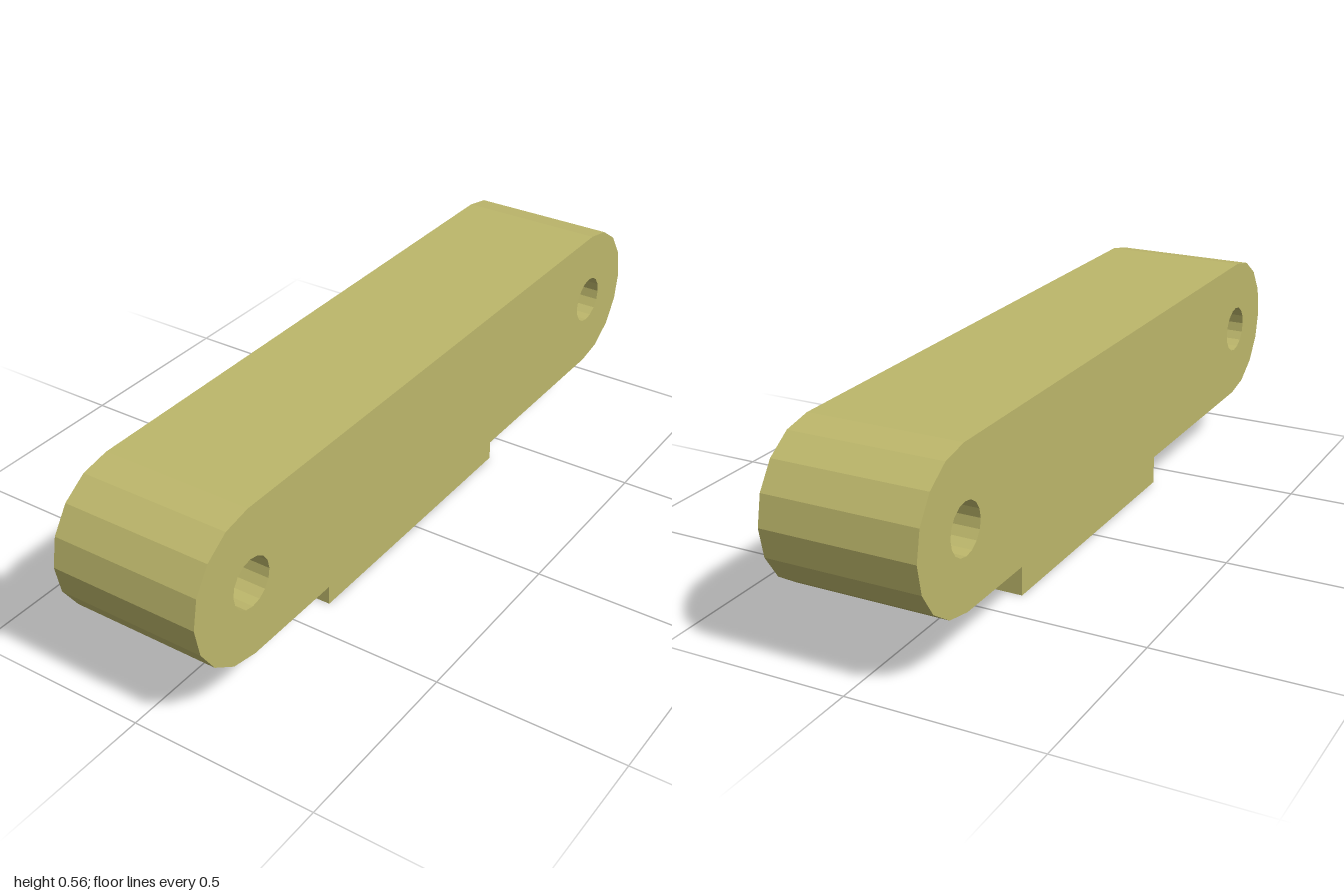
import * as THREE from 'three';

const HALF_SPAN = 0.8;   // pin hole distance from the middle
const RADIUS = 0.2;      // rounded end radius
const WIDTH = 0.4;
const CENTER_Y = 0.36;
const HOLE_RADIUS = 0.065;

// Points along a faceted arc
function arc(cx, radius, start, sweep, segments) {
  return Array.from({ length: segments + 1 }, (_, i) => {
    const a = start + (sweep * i) / segments;
    return new THREE.Vector2(cx + radius * Math.cos(a), radius * Math.sin(a));
  });
}

export function createModel() {
  const model = new THREE.Group();
  const material = new THREE.MeshStandardMaterial({ color: 0xbdb76b, flatShading: true });

  // Link bar: stadium outline with a pin hole at each end
  const outline = new THREE.Shape([
    ...arc(HALF_SPAN, RADIUS, -Math.PI / 2, Math.PI, 8),
    ...arc(-HALF_SPAN, RADIUS, Math.PI / 2, Math.PI, 8),
  ]);
  for (const side of [-1, 1]) {
    const rim = arc(side * HALF_SPAN, HOLE_RADIUS, 0, -Math.PI * 2, 16).slice(0, -1);
    outline.holes.push(new THREE.Path(rim));
  }
  const barGeometry = new THREE.ExtrudeGeometry(outline, { depth: WIDTH, bevelEnabled: false });
  barGeometry.translate(0, 0, -WIDTH / 2).rotateY(Math.PI / 2);
  const bar = new THREE.Mesh(barGeometry, material);
  bar.name = 'linkBar';
  bar.position.y = CENTER_Y;
  model.add(bar);

  // Guide block under the bar
  const block = new THREE.Mesh(new THREE.BoxGeometry(0.24, 0.16, 0.8), material);
  block.name = 'guideBlock';
  block.position.y = 0.08;
  model.add(block);

  return model;
}
